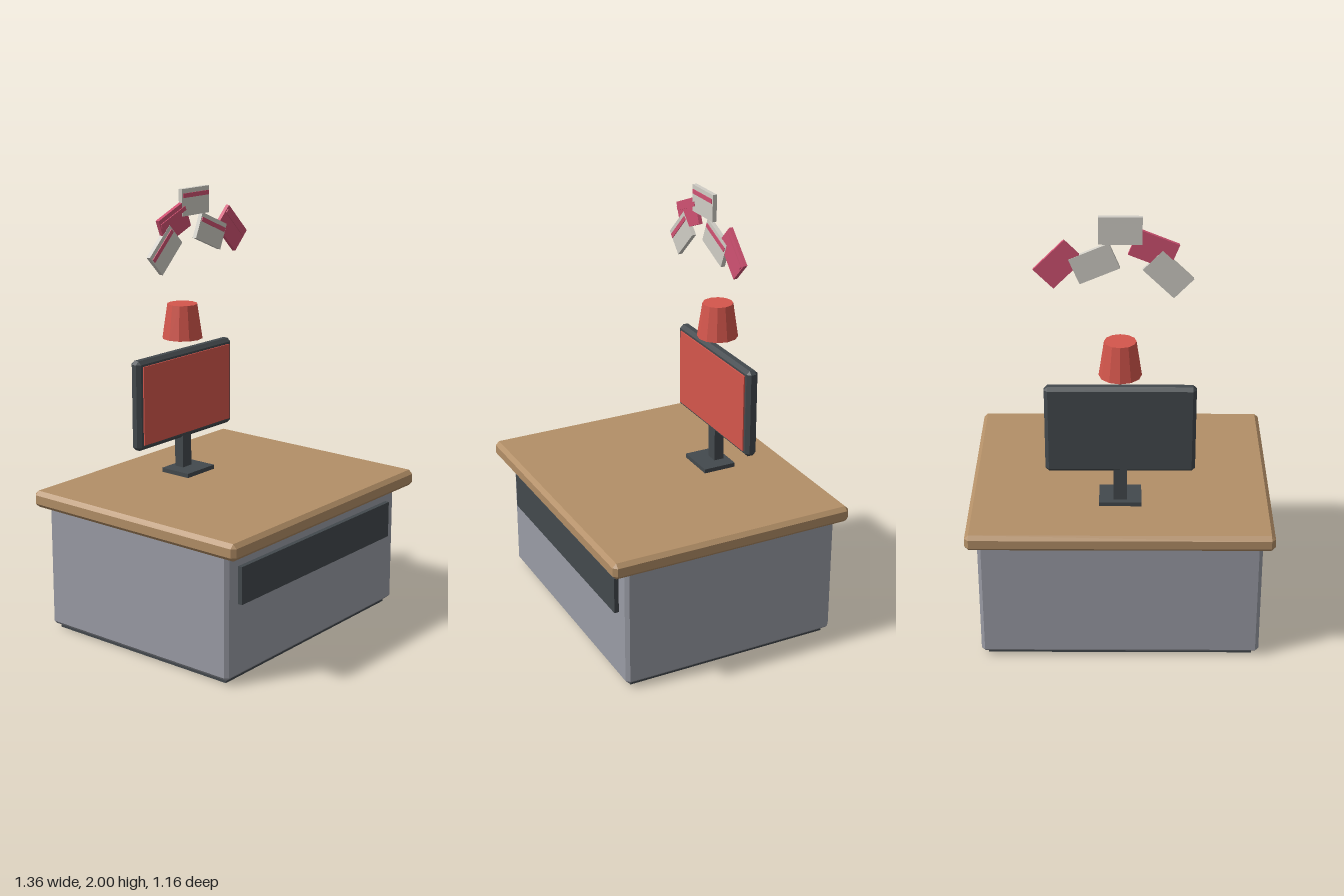
import * as THREE from 'three';
import { ConvexGeometry } from 'three/addons/geometries/ConvexGeometry.js';

const mat = (name, color) => {
  const m = new THREE.MeshStandardMaterial({ color });
  m.name = name;
  return m;
};

// Box with flat chamfers of width c on every edge
function chamferBox(w, h, d, c) {
  const pts = [];
  for (const sx of [-1, 1]) for (const sy of [-1, 1]) for (const sz of [-1, 1]) {
    const x = w / 2, y = h / 2, z = d / 2;
    pts.push(
      new THREE.Vector3(sx * x, sy * (y - c), sz * (z - c)),
      new THREE.Vector3(sx * (x - c), sy * y, sz * (z - c)),
      new THREE.Vector3(sx * (x - c), sy * (y - c), sz * z));
  }
  return new ConvexGeometry(pts);
}

export function createModel() {
  const model = new THREE.Group();
  model.name = 'deskWithMonitor';

  const wood = mat('wood', 0xb38f67);
  const grey = mat('cabinetGrey', 0x9a9ca5);
  const dark = mat('darkMetal', 0x43494d);
  const red = mat('red', 0xd4564c);
  const pink = mat('pink', 0xd05272);
  const paper = mat('paper', 0xd0cdc5);

  const add = (name, geometry, material, x, y, z, parent = model) => {
    const mesh = new THREE.Mesh(geometry, material);
    mesh.name = name;
    mesh.position.set(x, y, z);
    parent.add(mesh);
    return mesh;
  };
  const box = (w, h, d) => new THREE.BoxGeometry(w, h, d);

  // Counter
  add('plinth', box(1.2, 0.04, 0.98), dark, 0, 0.02, -0.015);
  add('cabinet', chamferBox(1.26, 0.575, 1.04, 0.016), grey, 0, 0.3075, -0.015);
  add('worktop', chamferBox(1.36, 0.076, 1.165, 0.018), wood, 0, 0.628, 0);
  add('frontPanel', box(1.11, 0.17, 0.03), dark, 0, 0.44, 0.511);

  // Monitor
  const monitor = new THREE.Group();
  monitor.name = 'monitor';
  model.add(monitor);
  add('monitorBase', box(0.19, 0.022, 0.158), dark, 0, 0.675, -0.239, monitor);
  add('monitorNeck', box(0.06, 0.17, 0.048), dark, 0, 0.76, -0.269, monitor);
  add('monitorCase', chamferBox(0.666, 0.418, 0.056, 0.016), dark, 0, 1.039, -0.27, monitor);
  add('screen', box(0.61, 0.366, 0.008), red, 0, 1.039, -0.24, monitor);

  // Floating tapered shade
  const shade = new THREE.CylinderGeometry(0.07, 0.094, 0.16, 12).toNonIndexed();
  shade.computeVertexNormals();
  add('shade', shade, red, 0, 1.382, -0.268);

  // Arc of floating cards: x, y, tilt in degrees, material
  const cards = [
    [-0.204, 1.743, 44, paper],
    [-0.142, 1.855, 22, pink],
    [0, 1.94, 0, paper],
    [0.111, 1.791, -23, paper],
    [0.262, 1.787, -45, pink],
  ];
  for (const [x, y, tilt, material] of cards) {
    const card = new THREE.Group();
    card.name = 'card';
    card.position.set(x, y, -0.194);
    card.rotation.z = THREE.MathUtils.degToRad(tilt);
    model.add(card);
    const depth = material === paper ? 0.02 : 0.018;
    add('cardBody', box(0.187, 0.122, depth), material, 0, 0, 0, card);
    add('cardStripe', box(0.175, 0.02, 0.006), pink, 0, 0.031, 0.0105, card);
  }

  return model;
}
